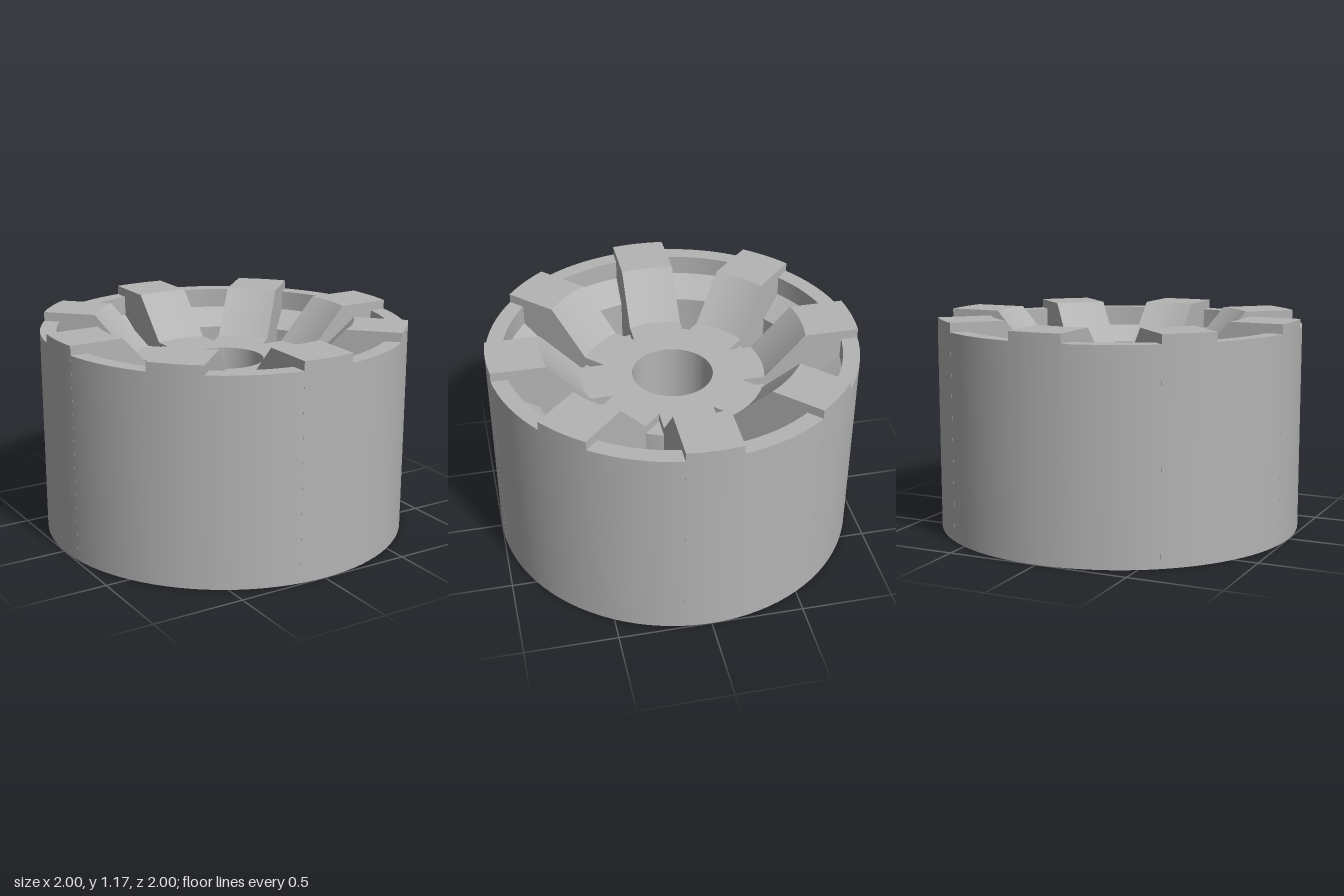
import * as THREE from 'three';
import { toCreasedNormals } from 'three/addons/utils/BufferGeometryUtils.js';

const SPOKES = 8;
const HALF = 0.146;      // half width of a spoke
const HUB_R = 0.5;
const BORE_R = 0.22;
const BORE_FLOOR = 0.5;
const HUB_LOW = 0.885;   // hub level between the spokes
const HUB_TOP = 0.932;   // raised star on the hub

export function createModel() {
  const group = new THREE.Group();
  const grey = new THREE.MeshStandardMaterial({ color: 0xb4b4b4 });
  grey.name = 'plain grey';

  const add = (name, geometry) => {
    const mesh = new THREE.Mesh(toCreasedNormals(geometry, 0.4), grey);
    mesh.name = name;
    group.add(mesh);
    return mesh;
  };

  // Flat outline raised between two heights, with an optional bore
  const slab = (name, shape, y0, y1, bored) => {
    if (bored) shape.holes.push(new THREE.Path().absarc(0, 0, BORE_R, 0, Math.PI * 2, true));
    const geo = new THREE.ExtrudeGeometry(shape, { depth: y1 - y0, bevelEnabled: false, curveSegments: 64 });
    add(name, geo.rotateX(-Math.PI / 2).translate(0, y0, 0));
  };
  const disc = () => new THREE.Shape().absarc(0, 0, HUB_R, 0, Math.PI * 2, false);

  // Outer rim: straight wall, stepped lip and shallow inner cone
  const rim = [[0.76, 0], [1, 0], [1, 1.12], [0.91, 1.12], [0.91, 1.01], [0.76, 0.92], [0.76, 0]];
  add('rim', new THREE.LatheGeometry(rim.map(([r, y]) => new THREE.Vector2(r, y)), 96));

  // Hub with a blind bore
  slab('hubBase', disc(), 0, BORE_FLOOR, false);
  slab('hubCollar', disc(), BORE_FLOOR, HUB_LOW, true);

  // Raised star where the spokes meet on the hub
  const star = new THREE.Shape();
  const step = (Math.PI * 2) / SPOKES;
  const spread = Math.asin(HALF / HUB_R);
  const notchR = HALF / Math.sin(step / 2);
  for (let k = 0; k < SPOKES; k++) {
    for (let i = 0; i <= 8; i++) {
      const a = k * step - spread + (2 * spread * i) / 8;
      const x = HUB_R * Math.cos(a), y = HUB_R * Math.sin(a);
      if (k + i === 0) star.moveTo(x, y);
      else star.lineTo(x, y);
    }
    const n = (k + 0.5) * step;
    star.lineTo(notchR * Math.cos(n), notchR * Math.sin(n));
  }
  slab('hubStar', star, HUB_LOW, HUB_TOP, true);

  // Spokes: radial profile swept across the width, bent so ends follow circles
  const profile = new THREE.Shape(
    [[HUB_R, 0], [1, 0], [1, 1.17], [0.71, 1.17], [HUB_R, HUB_TOP]].map(([r, y]) => new THREE.Vector2(r, y))
  );
  const spokeGeo = new THREE.ExtrudeGeometry(profile, { depth: 2 * HALF, steps: 8, bevelEnabled: false });
  const pos = spokeGeo.attributes.position;
  for (let i = 0; i < pos.count; i++) {
    const r = pos.getX(i), t = pos.getZ(i) - HALF;
    pos.setX(i, Math.sqrt(r * r - t * t));
    pos.setZ(i, t);
  }
  for (let k = 0; k < SPOKES; k++) {
    add('spoke' + (k + 1), spokeGeo.clone()).rotation.y = k * step;
  }
  return group;
}
